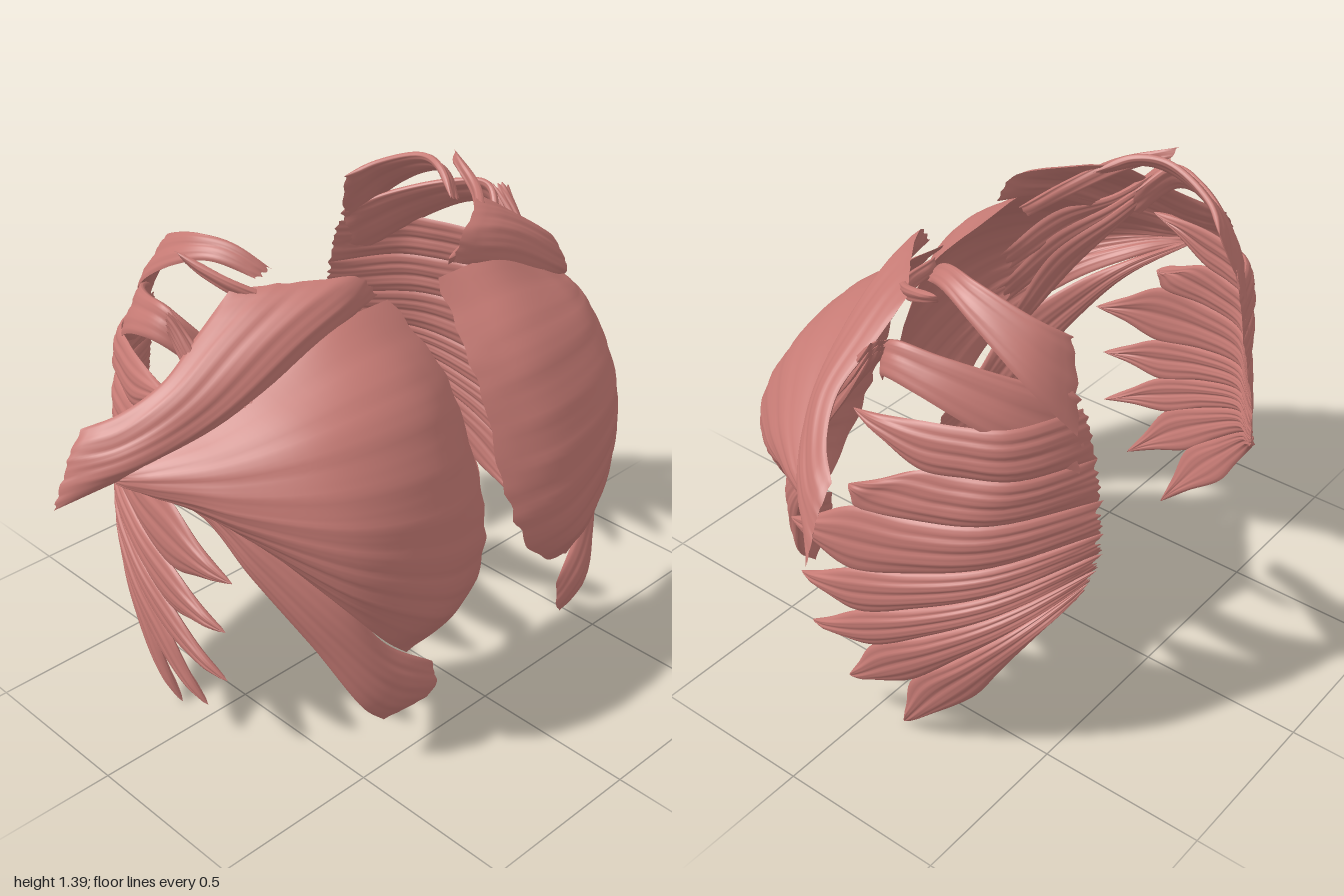
import * as THREE from 'three';

const material = new THREE.MeshStandardMaterial({ color: 0xc57a74 });
const V = (p) => new THREE.Vector3(...p);
const hash = (n) => { const s = Math.sin(n * 127.1 + 3.7) * 43758.5453; return s - Math.floor(s); };
const noise = (t) => THREE.MathUtils.lerp(hash(Math.floor(t)), hash(Math.floor(t) + 1), t - Math.floor(t));

// A closed, thin muscle sheet. Each fibre is a path from origin to insertion;
// the sheet is lofted across them, thickened, grooved and frayed at its ends.
function muscle(name, side, fibres, { thick = 0.02, grooves = 8, depth = 0.003, fray = 0.02, nu = 32, nv = 40 } = {}) {
  const curves = fibres.map((f) => new THREE.CatmullRomCurve3(f.map(([x, y, z]) => V([x * side, y, z]))));
  const grid = Array.from({ length: nu + 1 }, () => []);
  for (let j = 0; j <= nv; j++) {
    const v = j / nv;
    const start = fray * noise(j * 0.4 + 20 + fibres[0][0][1] * 10), end = 1 - fray * noise(j * 0.6 + 50);
    for (let i = 0; i <= nu; i++) {
      const u = start + (end - start) * i / nu;
      grid[i].push(new THREE.CatmullRomCurve3(curves.map((c) => c.getPoint(u))).getPoint(v));
    }
  }
  // Normals by central differences
  const at = (i, j) => grid[Math.min(nu, Math.max(0, i))][Math.min(nv, Math.max(0, j))];
  const normal = (i, j) => {
    i = Math.min(nu - 1, Math.max(1, i));
    const a = at(i + 1, j).clone().sub(at(i - 1, j));
    const b = at(i, j + 1).clone().sub(at(i, j - 1));
    return a.cross(b).normalize();
  };
  const positions = [], index = [];
  for (const face of [1, -1]) {
    const base = positions.length / 3;
    for (let i = 0; i <= nu; i++) for (let j = 0; j <= nv; j++) {
      const u = i / nu, v = j / nv;
      const rim = Math.min(1, 5 * v, 5 * (1 - v)) * Math.min(1, 8 * u, 8 * (1 - u));
      const groove = Math.sin(v * grooves * 6.283 + u * 3) + 0.5 * Math.sin(v * grooves * 14 + u * 5);
      const t = 0.5 * thick * Math.sqrt(rim) + depth * groove * rim * (1 - 0.5 * u);
      const p = at(i, j).clone().addScaledVector(normal(i, j), face * Math.max(t, 0));
      positions.push(p.x, p.y, p.z);
      if (i < nu && j < nv) {
        const a = base + i * (nv + 1) + j, b = a + nv + 1;
        if (face > 0) index.push(a, b, b + 1, a, b + 1, a + 1);
        else index.push(a, b + 1, b, a, a + 1, b + 1);
      }
    }
  }
  const g = new THREE.BufferGeometry();
  g.setAttribute('position', new THREE.Float32BufferAttribute(positions, 3));
  g.setIndex(index);
  g.computeVertexNormals();
  const mesh = new THREE.Mesh(g, material);
  mesh.name = name;
  return mesh;
}

// Broad chest fan, converging on the upper arm
const chestFan = [
  [[0.08, 1.215, 0.18], [0.3, 1.215, 0.19], [0.53, 1.11, 0.15], [0.69, 1.02, 0.1], [0.79, 0.97, 0.04], [0.88, 0.91, -0.03]],
  [[0.04, 1.02, 0.36], [0.25, 1.05, 0.4], [0.5, 1.02, 0.35], [0.69, 0.96, 0.22], [0.79, 0.93, 0.11], [0.88, 0.9, -0.03]],
  [[0.03, 0.8, 0.46], [0.25, 0.82, 0.52], [0.51, 0.85, 0.47], [0.7, 0.87, 0.28], [0.78, 0.885, 0.15], [0.88, 0.89, -0.03]],
  [[0.06, 0.58, 0.53], [0.27, 0.62, 0.56], [0.51, 0.72, 0.5], [0.69, 0.81, 0.29], [0.77, 0.86, 0.14], [0.87, 0.89, -0.03]],
  [[0.16, 0.43, 0.54], [0.32, 0.5, 0.56], [0.51, 0.62, 0.49], [0.665, 0.77, 0.29], [0.75, 0.85, 0.12], [0.86, 0.885, -0.02]],
  [[0.33, 0.34, 0.5], [0.43, 0.44, 0.51], [0.53, 0.57, 0.45], [0.64, 0.73, 0.28], [0.73, 0.835, 0.11], [0.85, 0.885, -0.02]],
];
// Lower strap of the chest, tucked under the fan
const lowerStrap = [
  [[0.26, 0.29, 0.53], [0.4, 0.4, 0.49], [0.5, 0.55, 0.445], [0.62, 0.72, 0.28], [0.71, 0.83, 0.12], [0.85, 0.89, -0.02]],
  [[0.26, 0.2, 0.54], [0.41, 0.29, 0.51], [0.53, 0.46, 0.42], [0.64, 0.66, 0.26], [0.71, 0.81, 0.11], [0.86, 0.885, -0.03]],
  [[0.4, 0.135, 0.48], [0.47, 0.21, 0.47], [0.56, 0.41, 0.37], [0.655, 0.62, 0.24], [0.715, 0.79, 0.1], [0.87, 0.885, -0.04]],
];
// Band from the collarbone to the upper arm
const collarBand = [
  [[0.47, 1.3, -0.02], [0.6, 1.21, -0.01], [0.72, 1.13, 0], [0.82, 1.06, -0.05], [0.89, 1.01, -0.13]],
  [[0.34, 1.315, 0.08], [0.54, 1.21, 0.08], [0.72, 1.09, 0.065], [0.85, 0.99, -0.02], [0.94, 0.945, -0.13]],
  [[0.19, 1.31, 0.175], [0.42, 1.22, 0.16], [0.66, 1.07, 0.12], [0.84, 0.96, 0.02], [0.97, 0.88, -0.13]],
  [[0.14, 1.25, 0.19], [0.35, 1.18, 0.195], [0.62, 1.04, 0.145], [0.83, 0.92, 0.015], [1.0, 0.81, -0.13]],
];
// Slim strip under the collarbone
const collarStrip = [
  [[0.18, 1.23, 0.14], [0.34, 1.26, 0.1], [0.46, 1.32, 0], [0.53, 1.38, -0.17]],
  [[0.2, 1.2, 0.12], [0.34, 1.22, 0.08], [0.46, 1.28, -0.02], [0.51, 1.35, -0.16]],
];
// Two upper side strips arching over the ribs
const upperStrips = [
  [
    [[0.33, 1.27, -0.44], [0.39, 1.325, -0.36], [0.42, 1.385, -0.2], [0.39, 1.38, -0.1], [0.34, 1.32, 0]],
    [[0.39, 1.02, -0.52], [0.48, 1.19, -0.4], [0.48, 1.305, -0.23], [0.45, 1.34, -0.12], [0.38, 1.3, 0]],
  ],
  [
    [[0.36, 1.14, -0.49], [0.48, 1.2, -0.38], [0.58, 1.255, -0.22], [0.61, 1.27, -0.1], [0.54, 1.17, 0]],
    [[0.39, 0.92, -0.53], [0.58, 1.08, -0.36], [0.65, 1.17, -0.2], [0.65, 1.18, -0.1], [0.56, 1.08, 0]],
  ],
];

// Side fan: a point [z, y] laid on the rib cage
const onRibs = ([z, y]) => {
  const round = 0.3 + 0.43 * Math.sqrt(Math.max(0, 1 - ((z - 0.05) / 0.63) ** 2));
  return [round * (1 - (y < 0.5 ? 0.36 : 0.25) * (y - 0.5) ** 2), y, z];
};
const bladeEdge = new THREE.CatmullRomCurve3(
  [[0.35, 1.1, -0.5], [0.34, 0.9, -0.545], [0.36, 0.75, -0.57], [0.37, 0.65, -0.57], [0.41, 0.57, -0.55]].map(V));
const notches = [[-0.2, 1.085], [-0.21, 0.95], [-0.02, 0.78], [0, 0.57], [-0.02, 0.43], [-0.06, 0.32], [-0.17, 0.23], [-0.34, 0.22]];
const tips = [[0.0, 1.06], [0.0, 0.84], [0.23, 0.62], [0.2, 0.45], [0.185, 0.27], [0.07, 0.11], [-0.1, 0.0]];

function digitFibres(i) {
  const edge = (k) => {
    const b = bladeEdge.getPoint(1 - (1 - k / tips.length) ** 1.3).toArray();
    const n = notches[k], t = tips[i];
    const mix = (p, q, f) => [p[0] + (q[0] - p[0]) * f, p[1] + (q[1] - p[1]) * f];
    const back = [b[2], b[1]];
    return [b, onRibs(mix(back, n, 0.33)), onRibs(mix(back, n, 0.67)), onRibs(n), onRibs(mix(n, t, 0.55)), onRibs(t)];
  };
  const top = edge(i), low = edge(i + 1);
  const mid = top.map((p, k) => p.map((c, a) => (c + low[k][a]) / 2 + (a === 0 ? 0.007 : 0)));
  mid[5] = top[5];
  return [top, mid, low];
}

// Deep chest slips, from the shoulder down to the ribs
const deepEnds = [[0.38, 0.88, 0.36], [0.43, 0.72, 0.41], [0.48, 0.59, 0.4]];
const deepFibres = ([x, y, z], k) => [-1, 0, 1].map((w) => [
  [0.635 + w * 0.02, 1.275 - k * 0.015, -0.08 + w * 0.015],
  [0.61 + w * 0.025, 1.12 - k * 0.03, 0.07 - w * 0.02],
  [0.54 + w * 0.035, (y + 1.2) / 2 - 0.03 - w * 0.03, 0.24 - w * 0.02],
  [x + w * 0.02, y - w * 0.035, z],
]);

export function createModel() {
  const model = new THREE.Group();
  for (const [label, side] of [['left', 1], ['right', -1]]) {
    const half = new THREE.Group();
    half.name = label + 'Half';
    const add = (name, fibres, options) => half.add(muscle(name, side, fibres, options));
    add('chestFan', chestFan, { thick: 0.03, grooves: 9, depth: 0.002, nv: 64, fray: 0.02 });
    add('lowerStrap', lowerStrap, { thick: 0.03, grooves: 3, depth: 0.002, fray: 0.01 });
    add('collarBand', collarBand, { thick: 0.03, grooves: 4, depth: 0.002, fray: 0.015 });
    add('collarStrip', collarStrip, { grooves: 2, nv: 12 });
    upperStrips.forEach((s, i) => add('upperSideStrip' + (i + 1), s, { grooves: 3, depth: 0.002, nv: 20, fray: 0.04 }));
    tips.forEach((_, i) => add('sideFanSlip' + (i + 1), digitFibres(i), { thick: 0.025, grooves: 3, depth: 0.003, nv: 28, fray: 0.015 }));
    deepEnds.forEach((e, i) => add('deepChestSlip' + (i + 1), deepFibres(e, i), { grooves: 2, nv: 16, fray: 0.05 }));
    model.add(half);
  }
  return model;
}
